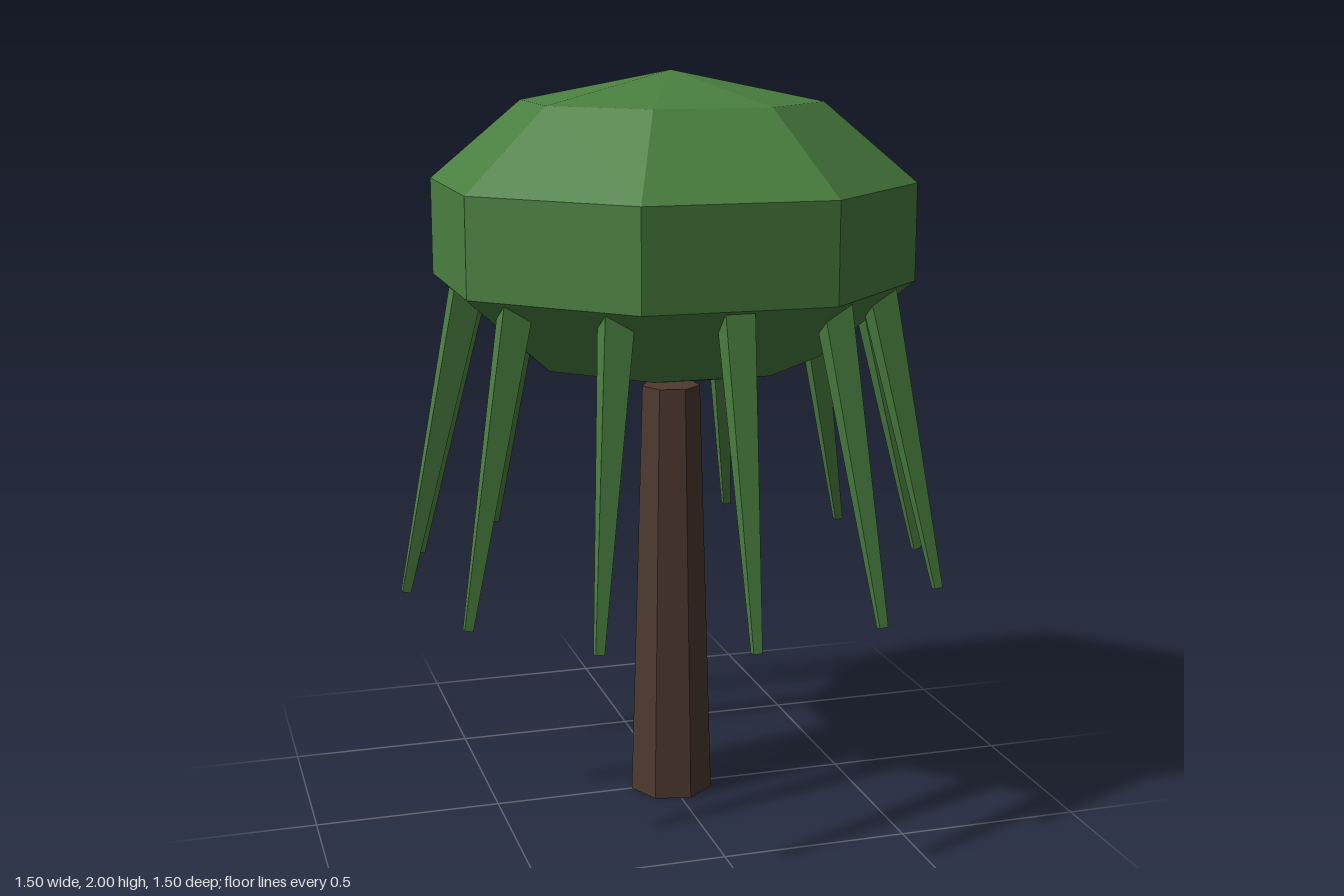
import * as THREE from 'three';

export function createModel() {
  const group = new THREE.Group();
  const leaf = new THREE.MeshStandardMaterial({ color: 0x4a7f40, flatShading: true });
  leaf.name = 'leaf green';
  const bark = new THREE.MeshStandardMaterial({ color: 0x4e3a2f, flatShading: true });
  bark.name = 'bark brown';

  function add(name, geometry, material, parent = group) {
    const mesh = new THREE.Mesh(geometry, material);
    mesh.name = name;
    parent.add(mesh);
    return mesh;
  }

  // Seven-sided tapering trunk, one corner towards -x
  const trunkHeight = 1.16;
  const trunk = new THREE.CylinderGeometry(0.08, 0.115, trunkHeight, 7);
  trunk.rotateY(-Math.PI / 2);
  add('trunk', trunk, bark).position.y = trunkHeight / 2;

  // Flattened eight-sided crown with flat sides facing the axes
  const crown = new THREE.SphereGeometry(0.683, 8, 5);
  crown.rotateY(Math.PI / 8);
  crown.scale(1, 0.4175 / 0.683, 1);
  add('crown', crown, leaf).position.y = 1.5825;

  // Ring of square, tapering fronds leaning outwards
  const fronds = new THREE.Group();
  fronds.name = 'hangingFronds';
  group.add(fronds);
  const frond = new THREE.CylinderGeometry(0.053, 0.016, 0.82, 4);
  frond.rotateY(Math.PI / 4);
  const up = new THREE.Vector3(0, 1, 0);
  const tilt = 0.221;
  for (let i = 0; i < 12; i++) {
    const a = (i / 12) * Math.PI * 2;
    const x = Math.cos(a), z = Math.sin(a);
    const mesh = add('frond' + (i + 1), frond, leaf, fronds);
    mesh.position.set(x * 0.647, 1.038, z * 0.647);
    const axis = new THREE.Vector3(-x * Math.sin(tilt), Math.cos(tilt), -z * Math.sin(tilt));
    mesh.quaternion.setFromUnitVectors(up, axis);
  }
  return group;
}
